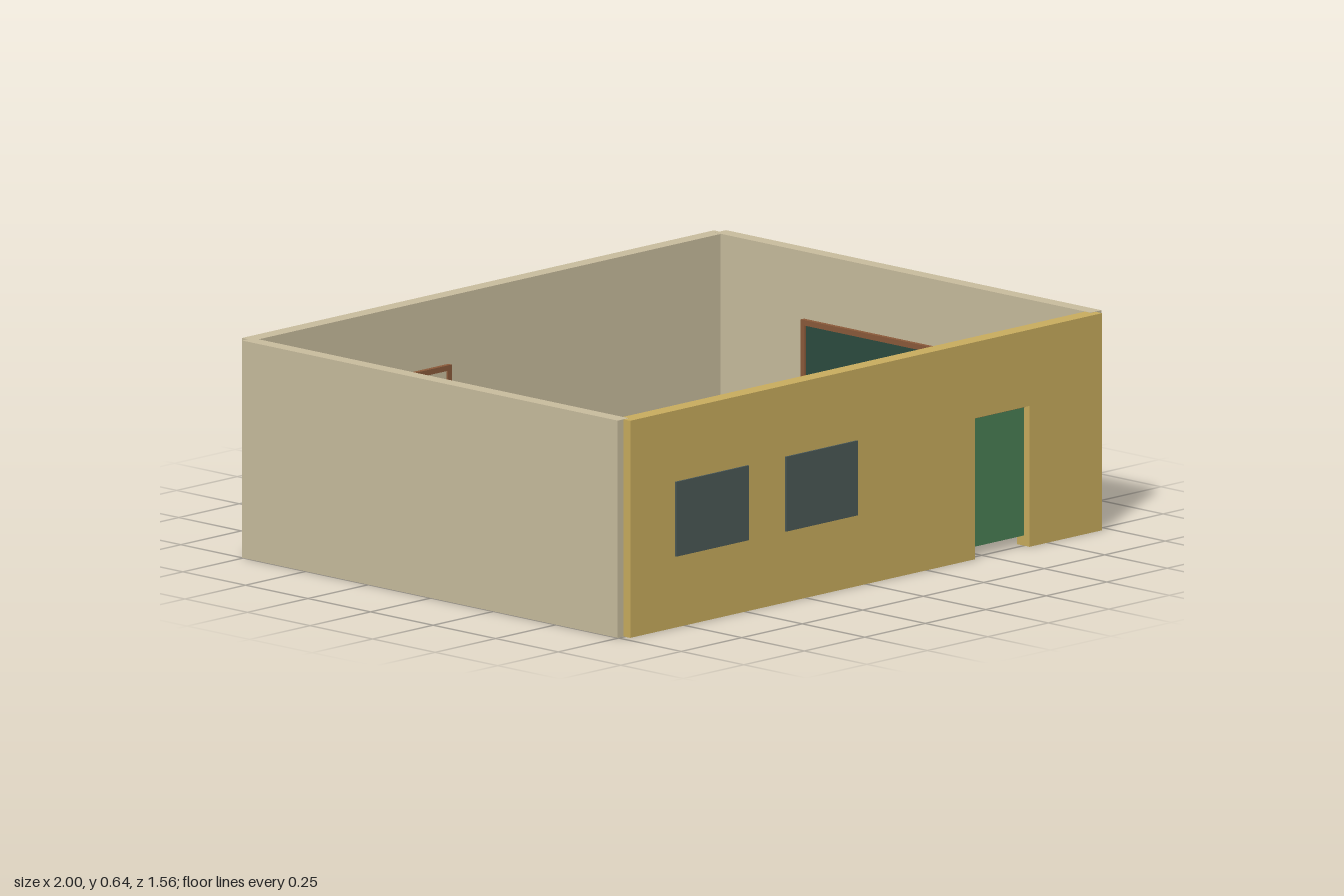
import * as THREE from 'three';

const mat = (name, color, extra = {}) => Object.assign(new THREE.MeshStandardMaterial({ color, ...extra }), { name });
const M = {
  cream: mat('cream plaster', 0xc9bd9e),
  ochre: mat('ochre plaster', 0xc9ad5e),
  floor: mat('floor tan', 0xb1957a),
  wood: mat('desk wood', 0xaa7d4e),
  frame: mat('frame brown', 0x8a5a3a),
  green: mat('door green', 0x4a8055),
  dark: mat('metal dark green', 0x1f4a38),
  board: mat('chalkboard green', 0x2c4c3f),
  glass: mat('window slate', 0x4b5957),
};

// Box given by its minimum and maximum on each axis
function box(parent, name, material, [x0, x1], [y0, y1], [z0, z1]) {
  const mesh = new THREE.Mesh(new THREE.BoxGeometry(x1 - x0, y1 - y0, z1 - z0), material);
  mesh.position.set((x0 + x1) / 2, (y0 + y1) / 2, (z0 + z1) / 2);
  mesh.name = name;
  parent.add(mesh);
  return mesh;
}

const FLOOR = 0.03, HEIGHT = 0.64;
const DOOR = [0.45, 0.675], DOOR_TOP = 0.415;
const WINDOWS = [[-0.79, -0.49], [-0.335, -0.04]], WINDOW_Y = [0.21, 0.43];

// Front wall outline with a door notch and two window holes
function frontWall() {
  const s = new THREE.Shape();
  const top = HEIGHT - 0.0005;
  [[-0.975, 0], [DOOR[0], 0], [DOOR[0], DOOR_TOP], [DOOR[1], DOOR_TOP], [DOOR[1], 0],
    [0.975, 0], [0.975, top], [-0.975, top]].forEach(([x, y], i) => (i ? s.lineTo(x, y) : s.moveTo(x, y)));
  s.closePath();
  const [y0, y1] = WINDOW_Y;
  for (const [x0, x1] of WINDOWS) {
    const hole = new THREE.Path();
    hole.moveTo(x0, y0).lineTo(x0, y1).lineTo(x1, y1).lineTo(x1, y0).closePath();
    s.holes.push(hole);
  }
  const mesh = new THREE.Mesh(new THREE.ExtrudeGeometry(s, { depth: 0.05, bevelEnabled: false }), M.ochre);
  mesh.position.z = 0.722;
  mesh.name = 'frontWall';
  return mesh;
}

// Wooden top on four thin metal legs
function table(name, x, z, width, length, top, leg = 0.011) {
  const g = new THREE.Group();
  g.name = name;
  const w = width / 2, l = length / 2, under = top - 0.014;
  box(g, name + 'Top', M.wood, [-w, w], [under, top], [-l, l]);
  for (const sx of [-1, 1]) {
    for (const sz of [-1, 1]) {
      const cx = sx * (w - 0.012), cz = sz * (l - 0.022), h = leg / 2;
      box(g, name + 'Leg', M.dark, [cx - h, cx + h], [FLOOR, under], [cz - h, cz + h]);
    }
  }
  g.position.set(x, 0, z);
  return g;
}

// Framed board facing +z, centred on its own origin, with its back at z = 0
function framedBoard(name, width, height, material) {
  const g = new THREE.Group();
  g.name = name;
  const w = width / 2, h = height / 2, t = 0.016, d = 0.014;
  box(g, name + 'Panel', material, [-w + t, w - t], [-h + t, h - t], [0, 0.008]);
  for (const s of [-1, 1]) {
    const y = [s * h, s * (h - t)].sort((a, b) => a - b);
    const x = [s * w, s * (w - t)].sort((a, b) => a - b);
    box(g, name + 'Rail', M.frame, [-w, w], y, [0, d]);
    box(g, name + 'Stile', M.frame, x, [-h + t, h - t], [0, d]);
  }
  return g;
}

export function createModel() {
  const room = new THREE.Group();
  room.name = 'classroom';

  // Floor and walls
  box(room, 'floor', M.floor, [-0.956, 0.956], [0.024, FLOOR], [-0.736, 0.723]);
  box(room, 'backWall', M.cream, [-0.975, 0.975], [0, HEIGHT - 0.0005], [-0.78, -0.733]);
  box(room, 'rightWall', M.cream, [-1, -0.955], [0, HEIGHT], [-0.755, 0.746]);
  box(room, 'leftWall', M.cream, [0.955, 1], [0, HEIGHT], [-0.755, 0.746]);
  room.add(frontWall());

  // Windows, slightly proud of the wall on both sides
  for (const x of WINDOWS) box(room, 'window', M.glass, x, WINDOW_Y, [0.716, 0.778]);

  // Doorway panel with a thin lintel, and the open leaf
  box(room, 'doorPanel', M.green, DOOR, [FLOOR, DOOR_TOP - 0.006], [0.74, 0.75]);
  box(room, 'doorLintel', M.frame, DOOR, [DOOR_TOP - 0.006, DOOR_TOP], [0.735, 0.755]);
  box(room, 'doorLeaf', M.green, [0.45, 0.461], [FLOOR, DOOR_TOP - 0.006], [0.522, 0.722]);

  // Boards on the left and back walls
  const chalkboard = framedBoard('chalkboard', 0.8, 0.235, M.board);
  chalkboard.rotation.y = -Math.PI / 2;
  chalkboard.position.set(0.955, 0.325, 0);
  const noticeBoard = framedBoard('noticeBoard', 0.415, 0.23, M.cream);
  noticeBoard.position.set(-0.378, 0.325, -0.733);
  room.add(chalkboard, noticeBoard);

  // Rows of desks with benches behind them
  for (const z of [-0.46, -0.007, 0.443]) {
    for (const x of [-0.655, -0.337, -0.02, 0.3]) {
      room.add(table('desk', x, z, 0.083, 0.222, 0.165));
      room.add(table('bench', x - 0.1, z, 0.054, 0.222, 0.102));
    }
  }

  // Teacher's table
  room.add(table('teacherTable', 0.616, -0.458, 0.112, 0.242, 0.175));

  return room;
}
